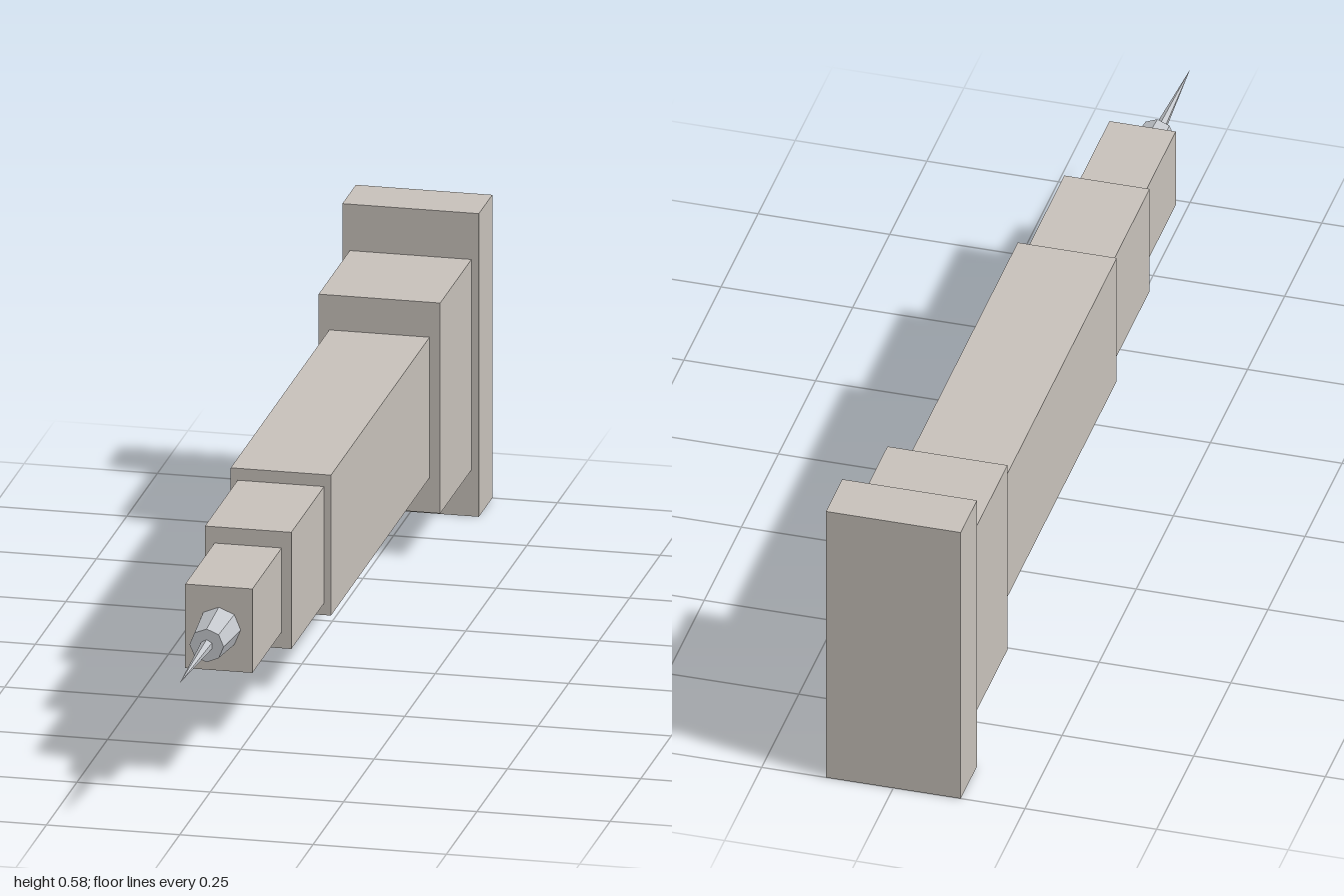
import * as THREE from 'three';

const AXIS_Y = 0.2925;

export function createModel() {
  const model = new THREE.Group();
  const bodyMat = new THREE.MeshStandardMaterial({ color: 0xc8c2bb, flatShading: true });
  const metalMat = new THREE.MeshStandardMaterial({ color: 0xc4c7cc, flatShading: true });

  // Stepped rectangular sections: name, half width, half height, back z, front z
  const sections = [
    ['basePlate', 0.128, 0.2925, -1, -0.89],
    ['collar', 0.114, 0.203, -0.89, -0.635],
    ['mainBody', 0.094, 0.1355, -0.635, 0.172],
    ['upperBody', 0.081, 0.1125, 0.172, 0.44],
    ['topBlock', 0.063, 0.081, 0.44, 0.68],
  ];
  for (const [name, halfW, halfH, back, front] of sections) {
    const mesh = new THREE.Mesh(new THREE.BoxGeometry(halfW * 2, halfH * 2, front - back), bodyMat);
    mesh.name = name;
    mesh.position.set(0, AXIS_Y, (back + front) / 2);
    model.add(mesh);
  }

  // Tapered round parts lying along +z
  function taper(name, rBack, rFront, back, front, sides) {
    const geo = new THREE.CylinderGeometry(rFront, rBack, front - back, sides);
    geo.rotateX(Math.PI / 2);
    const mesh = new THREE.Mesh(geo, metalMat);
    mesh.name = name;
    mesh.position.set(0, AXIS_Y, (back + front) / 2);
    model.add(mesh);
  }
  taper('spireSocket', 0.041, 0.032, 0.68, 0.78, 8);
  taper('spireNeedle', 0.0115, 0, 0.78, 1, 6);

  return model;
}
